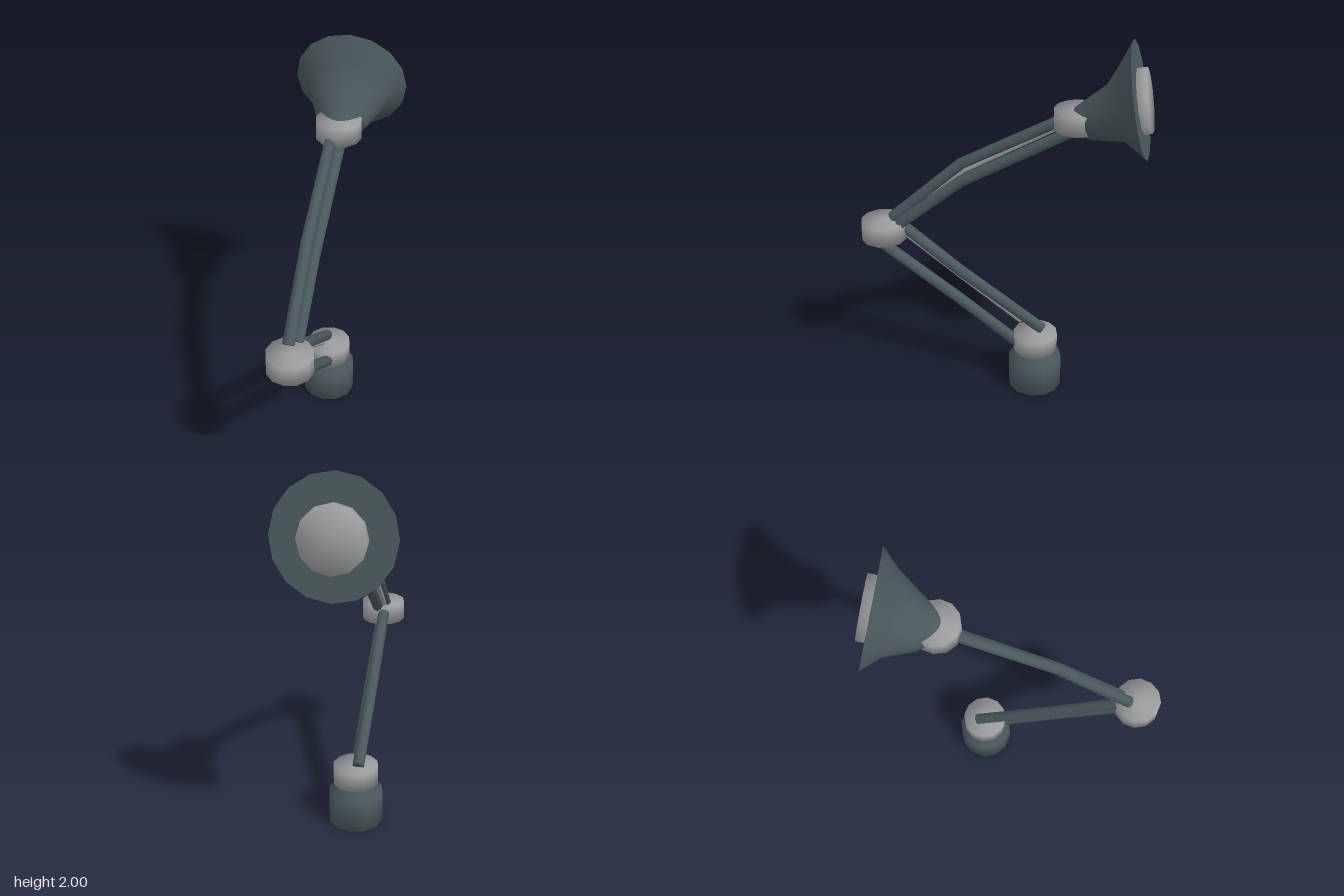
import * as THREE from 'three';
import { mergeVertices } from 'three/addons/utils/BufferGeometryUtils.js';

// Skin of elliptical rings running toward -z, closed by flat caps.
// Each ring is { top: [z, y], bottom: [z, y], halfWidth }.
function loft(rings, sides, x = 0) {
  const positions = [];
  const index = [];
  const centre = (r) => [x, (r.top[1] + r.bottom[1]) / 2, (r.top[0] + r.bottom[0]) / 2];
  const addRing = (r) => {
    const start = positions.length / 3;
    const [, cy, cz] = centre(r);
    for (let j = 0; j < sides; j++) {
      const a = (j / sides) * Math.PI * 2;
      positions.push(
        x + Math.sin(a) * r.halfWidth,
        cy + Math.cos(a) * (r.top[1] - cy),
        cz + Math.cos(a) * (r.top[0] - cz)
      );
    }
    return start;
  };
  const starts = rings.map(addRing);
  for (let i = 0; i < rings.length - 1; i++) {
    for (let j = 0; j < sides; j++) {
      const k = (j + 1) % sides;
      const a = starts[i] + j, b = starts[i] + k;
      const c = starts[i + 1] + j, d = starts[i + 1] + k;
      index.push(a, b, c, b, d, c);
    }
  }
  [rings[0], rings[rings.length - 1]].forEach((r, end) => {
    const start = addRing(r);
    const mid = positions.length / 3;
    positions.push(...centre(r));
    for (let j = 0; j < sides; j++) {
      const k = (j + 1) % sides;
      if (end) index.push(mid, start + j, start + k);
      else index.push(mid, start + k, start + j);
    }
  });
  const g = new THREE.BufferGeometry();
  g.setAttribute('position', new THREE.Float32BufferAttribute(positions, 3));
  g.setIndex(index);
  g.computeVertexNormals();
  return g;
}

// Bent rod through [z, y] points.
function rodGeometry(points, radius, x) {
  const rings = points.map(([z, y], i) => {
    const p = points[Math.max(i - 1, 0)];
    const n = points[Math.min(i + 1, points.length - 1)];
    const dz = n[0] - p[0], dy = n[1] - p[1];
    const s = radius / Math.hypot(dz, dy);
    return {
      top: [z + dy * s, y - dz * s],
      bottom: [z - dy * s, y + dz * s],
      halfWidth: radius
    };
  });
  return loft(rings, 8, x);
}

// Drum with normals blended over its edges.
function drumGeometry(radius, height) {
  const g = new THREE.CylinderGeometry(radius, radius, height, 12);
  g.deleteAttribute('normal');
  g.deleteAttribute('uv');
  const smooth = mergeVertices(g);
  smooth.computeVertexNormals();
  return smooth;
}

export function createModel() {
  const model = new THREE.Group();
  model.name = 'deskLamp';
  const dark = new THREE.MeshStandardMaterial({ color: 0x4a595c });
  dark.name = 'dark slate';
  const light = new THREE.MeshStandardMaterial({ color: 0x9b9d9f });
  light.name = 'light grey';

  const add = (name, geometry, material, y = 0, z = 0) => {
    const mesh = new THREE.Mesh(geometry, material);
    mesh.name = name;
    mesh.position.set(0, y, z);
    model.add(mesh);
    return mesh;
  };

  // Base and the three pivots
  add('base', drumGeometry(0.143, 0.175), dark, 0.0875, -0.19);
  add('baseJoint', drumGeometry(0.119, 0.1), light, 0.275, -0.19);
  add('elbowJoint', drumGeometry(0.119, 0.105), light, 0.885, 0.63);
  add('headJoint', drumGeometry(0.119, 0.1), light, 1.597, -0.38);

  // Paired arm rods with a thin spring rod between
  const left = 0.015, right = -0.02;
  const rods = [
    ['lowerArmFrontRod', [[0.655, 0.815], [0.24, 0.515], [-0.16, 0.21]], 0.031, left, dark],
    ['lowerArmBackRod', [[0.53, 0.9], [0.22, 0.655], [-0.225, 0.335]], 0.031, right, dark],
    ['lowerArmSpring', [[0.53, 0.865], [0.22, 0.625], [-0.11, 0.375]], 0.016, right, light],
    ['upperArmTopRod', [[0.585, 0.945], [0.205, 1.295], [-0.3, 1.575]], 0.031, right, dark],
    ['upperArmBottomRod', [[0.54, 0.93], [0.205, 1.21], [-0.35, 1.53]], 0.031, left, dark],
    ['upperArmSpring', [[0.52, 0.96], [0.2, 1.255], [-0.28, 1.535]], 0.016, right, light]
  ];
  for (const [name, points, radius, x, material] of rods) {
    add(name, rodGeometry(points, radius, x), material);
  }

  // Flared shade with a closed mouth
  add('shade', loft([
    { top: [-0.33, 1.625], bottom: [-0.36, 1.56], halfWidth: 0.05 },
    { top: [-0.51, 1.771], bottom: [-0.436, 1.503], halfWidth: 0.145 },
    { top: [-0.56, 1.875], bottom: [-0.62, 1.515], halfWidth: 0.215 },
    { top: [-0.617, 2.0], bottom: [-0.734, 1.43], halfWidth: 0.293 }
  ], 16), dark);

  // Round lamp lens standing out of the mouth
  const lens = add('lens', drumGeometry(0.16, 0.09), light, 1.71, -0.675);
  lens.rotation.x = -Math.PI / 2 + 0.18;

  return model;
}
